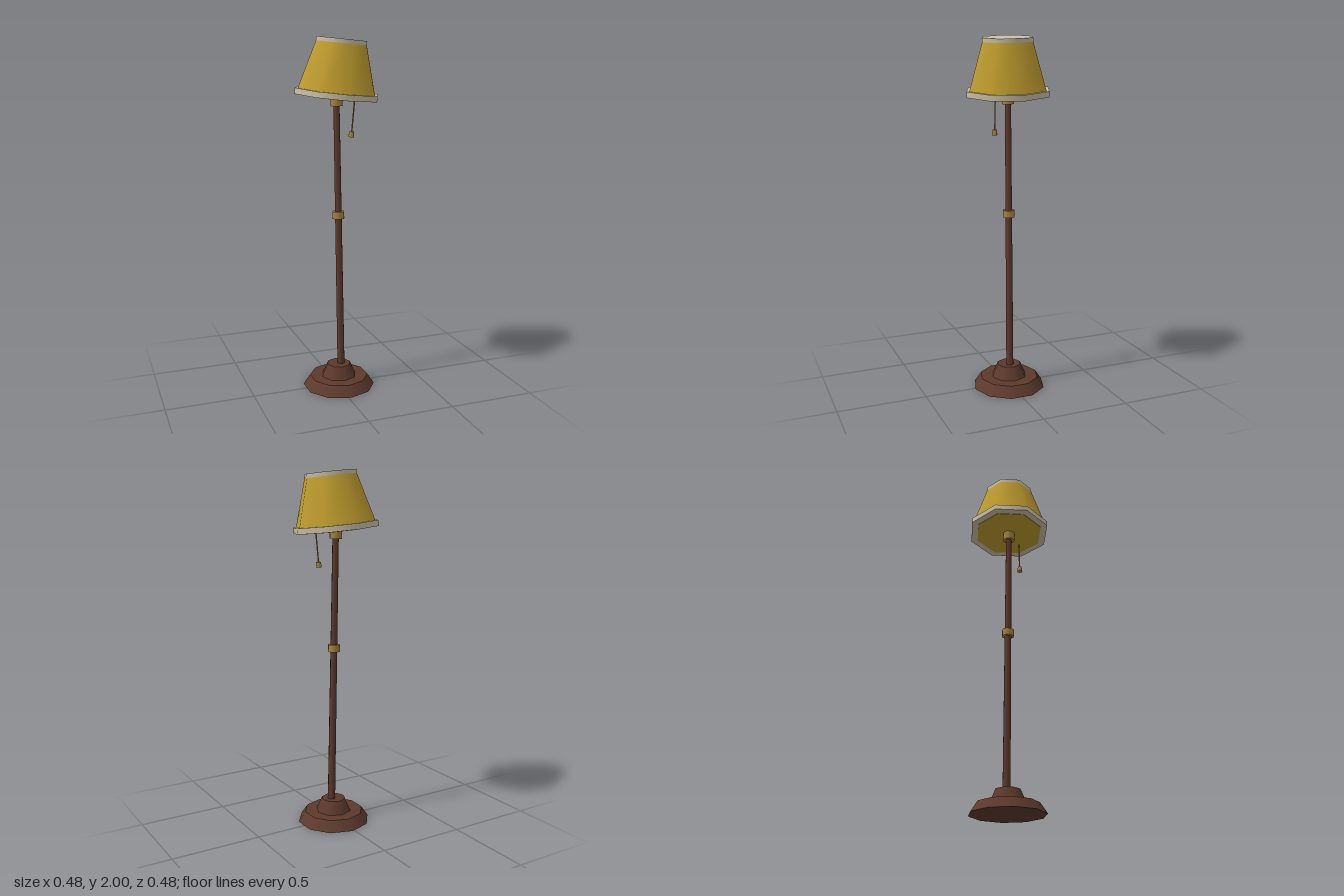
import * as THREE from 'three';

const mat = (name, color) => new THREE.MeshStandardMaterial({ name, color });

export function createModel() {
  const wood = mat('dark wood', 0x5d3a2c);
  const brass = mat('brass', 0xa8853f);
  const fabric = mat('yellow fabric', 0xbf9c2e);
  const cream = mat('cream trim', 0xcbc1a7);

  const lamp = new THREE.Group();
  lamp.name = 'floorLamp';

  // Tapered prism whose lower end sits at height y
  const prism = (parent, name, material, rTop, rBottom, height, sides, x, y, z = 0) => {
    const mesh = new THREE.Mesh(new THREE.CylinderGeometry(rTop, rBottom, height, sides), material);
    mesh.name = name;
    mesh.position.set(x, y + height / 2, z);
    parent.add(mesh);
    return mesh;
  };

  // Stepped foot
  const axisX = 0.013;
  prism(lamp, 'footLower', wood, 0.168, 0.207, 0.058, 10, axisX, 0);
  prism(lamp, 'footUpper', wood, 0.069, 0.101, 0.072, 8, axisX, 0.058);

  // Slightly leaning pole with its brass fittings
  const lean = 0.0187;
  const midY = 0.88;
  const pole = new THREE.Group();
  pole.name = 'poleAssembly';
  pole.position.set(axisX, midY, 0);
  pole.rotation.z = lean;
  lamp.add(pole);
  prism(pole, 'pole', wood, 0.018, 0.022, 1.56, 8, 0, -0.78);
  prism(pole, 'poleRing', brass, 0.035, 0.035, 0.04, 8, 0, 0.12);
  prism(pole, 'socket', brass, 0.035, 0.035, 0.07, 8, 0, 0.748);

  // Tilted octagonal shade, with local origin at the middle of the bottom rim
  const shade = new THREE.Group();
  shade.name = 'shadeAssembly';
  shade.position.set(0, 1.692, 0);
  shade.rotation.set(0.044, 0, -0.09);
  lamp.add(shade);
  prism(shade, 'shade', fabric, 0.142, 0.225, 0.275, 8, 0, 0.01);
  prism(shade, 'bottomTrim', cream, 0.24, 0.24, 0.032, 8, 0, -0.016);
  prism(shade, 'topTrim', cream, 0.146, 0.146, 0.027, 8, 0, 0.267);
  prism(shade, 'shadeUnderside', fabric, 0.2, 0.2, 0.004, 8, 0, -0.019);

  // Pull cord with a small weight
  const cordPath = new THREE.LineCurve3(
    new THREE.Vector3(0.067, 1.69, 0.102),
    new THREE.Vector3(0.05, 1.485, 0.097)
  );
  const cord = new THREE.Mesh(new THREE.TubeGeometry(cordPath, 1, 0.004, 5), brass);
  cord.name = 'pullCord';
  lamp.add(cord);
  prism(lamp, 'pullWeight', brass, 0.013, 0.016, 0.03, 6, 0.049, 1.466, 0.098).rotation.z = -0.08;

  return lamp;
}
